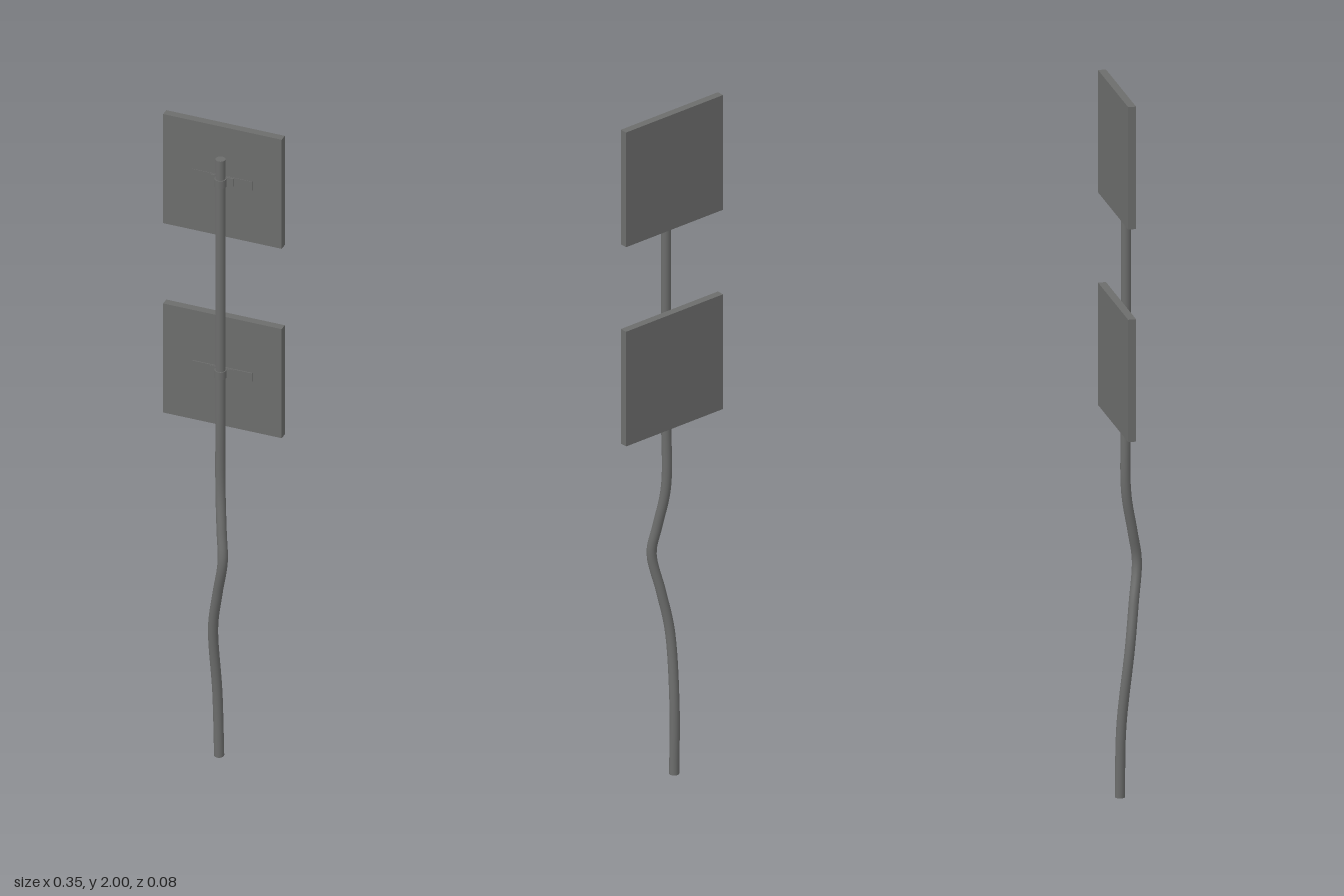
import * as THREE from 'three';

const material = new THREE.MeshStandardMaterial({ color: 0x6c6d6c });
const POLE_Z = -0.007, POLE_R = 0.0138;

function addMesh(parent, name, geometry, x = 0, y = 0, z = 0) {
  const mesh = new THREE.Mesh(geometry, material);
  mesh.name = name;
  mesh.position.set(x, y, z);
  parent.add(mesh);
  return mesh;
}

// Square panel with its mounting strip and the clamp that holds it to the pole
function createSign(name, panelY, bracketY, stripFront) {
  const sign = new THREE.Group();
  sign.name = name;
  addMesh(sign, 'panel', new THREE.BoxGeometry(0.346, 0.346, 0.022), 0, panelY, -0.032);

  const stripDepth = stripFront + 0.023;
  addMesh(sign, 'mountingStrip', new THREE.BoxGeometry(0.174, 0.028, stripDepth),
    0, bracketY, stripFront - stripDepth / 2);

  addMesh(sign, 'clampBand', new THREE.CylinderGeometry(0.0165, 0.0165, 0.024, 16), 0, bracketY, POLE_Z);
  for (const side of [-1, 1]) {
    addMesh(sign, 'clampTab', new THREE.BoxGeometry(0.02, 0.024, 0.004),
      side * 0.024, bracketY, -0.0185);
  }
  return sign;
}

export function createModel() {
  const model = new THREE.Group();
  model.name = 'bentSignPost';

  // Pole: bent near the foot, straight above
  const path = new THREE.CatmullRomCurve3([
    [-0.012, 0, -0.027],
    [-0.016, 0.2, -0.024],
    [-0.019, 0.42, -0.001],
    [0.0, 0.54, 0.014],
    [0.021, 0.655, 0.028],
    [0.012, 0.74, 0.014],
    [0.0, 0.86, POLE_Z],
    [0.0, 1.1, POLE_Z],
    [0.0, 1.906, POLE_Z],
  ].map((p) => new THREE.Vector3(...p)), false, 'centripetal');
  addMesh(model, 'pole', new THREE.TubeGeometry(path, 96, POLE_R, 16));

  // Flat ends of the pole
  const top = addMesh(model, 'poleTop', new THREE.CircleGeometry(POLE_R, 16), 0, 1.906, POLE_Z);
  top.rotation.x = -Math.PI / 2;
  const foot = addMesh(model, 'poleFoot', new THREE.CircleGeometry(POLE_R, 16), -0.012, 0, -0.027);
  foot.rotation.x = Math.PI / 2;

  model.add(createSign('upperSign', 1.827, 1.833, -0.0195));
  model.add(createSign('lowerSign', 1.226, 1.226, -0.018));
  return model;
}
